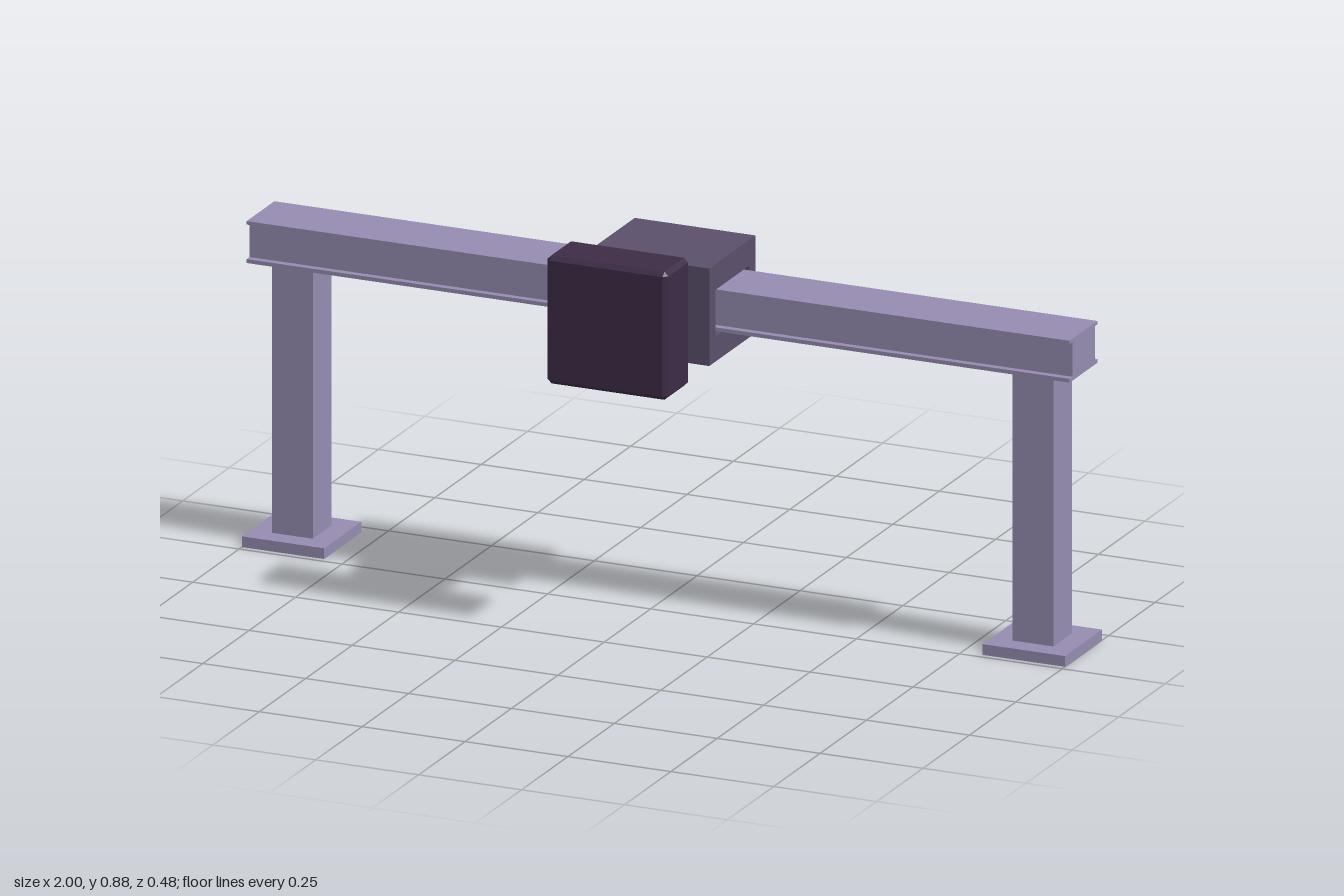
import * as THREE from 'three';
import { ConvexGeometry } from 'three/addons/geometries/ConvexGeometry.js';

const mat = (name, color) => Object.assign(new THREE.MeshStandardMaterial({ color }), { name });

export function createModel() {
  const root = new THREE.Group();
  const steel = mat('light steel', 0x958bb0);
  const carriage = mat('carriage grey', 0x5a4f6a);
  const dark = mat('dark block', 0x3c2c46);

  const add = (name, geo, material) => {
    const mesh = new THREE.Mesh(geo, material);
    mesh.name = name;
    root.add(mesh);
    return mesh;
  };
  // Box given by its lower and upper corner
  const box = (name, a, b, material) => {
    const size = a.map((v, i) => b[i] - v);
    add(name, new THREE.BoxGeometry(...size), material)
      .position.set(...a.map((v, i) => (v + b[i]) / 2));
  };
  // Extrude a shape drawn in (-z, y) along x, centred on the given x
  const extrudeX = (name, shape, width, x, material) => {
    const geo = new THREE.ExtrudeGeometry(shape, { depth: width, bevelEnabled: false, curveSegments: 16 });
    geo.translate(0, 0, -width / 2).rotateY(Math.PI / 2);
    add(name, geo, material).position.x = x;
  };
  const rect = (Type, x0, y0, x1, y1) => new Type().setFromPoints(
    [[x0, y0], [x1, y0], [x1, y1], [x0, y1]].map(p => new THREE.Vector2(...p)));
  const rodX = (name, radius, length, sides, x, material) => {
    const geo = new THREE.CylinderGeometry(radius, radius, length, sides);
    geo.rotateZ(Math.PI / 2);
    add(name, geo, material).position.set(x, pivotY, pivotZ);
  };
  const pivotY = 0.707, pivotZ = 0.07;

  // Rail: thick web with two thin flanges
  box('railWeb', [-1, 0.665, -0.177], [1, 0.748, -0.056], steel);
  box('railTopFlange', [-1, 0.747, -0.19], [1, 0.755, -0.04], steel);
  box('railBottomFlange', [-1, 0.657, -0.19], [1, 0.666, -0.04], steel);

  // Legs and foot plates
  for (const s of [-1, 1]) {
    const side = s > 0 ? 'left' : 'right';
    box(side + 'Leg', [s * 0.9 - 0.05, 0.025, -0.164], [s * 0.9 + 0.05, 0.658, -0.065], steel);
    box(side + 'Foot', [s * 0.9 - 0.1, 0, -0.215], [s * 0.9 + 0.1, 0.025, -0.015], steel);
  }

  // Sliding carriage: open sleeve around the rail
  const sleeve = rect(THREE.Shape, -0.01, 0.592, 0.24, 0.82);
  sleeve.holes.push(rect(THREE.Path, 0.023, 0.65, 0.205, 0.76));
  extrudeX('carriage', sleeve, 0.294, 0, carriage);

  // Front block with chamfered edges
  const half = [0.147, 0.15, 0.0625], c = 0.01, points = [];
  for (const sx of [-1, 1]) for (const sy of [-1, 1]) for (const sz of [-1, 1]) {
    const sign = [sx, sy, sz];
    for (let axis = 0; axis < 3; axis++) {
      points.push(new THREE.Vector3(...half.map((h, i) => sign[i] * (i === axis ? h : h - c))));
    }
  }
  add('frontBlock', new ConvexGeometry(points), dark).position.set(0, 0.73, 0.1775);

  // Round-ended lug on the carriage
  const lug = new THREE.Shape();
  lug.moveTo(0, pivotY - 0.043);
  lug.lineTo(0, pivotY + 0.043);
  lug.lineTo(-pivotZ, pivotY + 0.043);
  lug.absarc(-pivotZ, pivotY, 0.043, Math.PI / 2, Math.PI * 1.5, false);

  // Hinge: carriage lugs outside, block lugs inside, bolted together
  for (const s of [-1, 1]) {
    extrudeX('carriageLug', lug, 0.03, s * 0.075, carriage);
    rodX('blockLug', 0.056, 0.036, 32, s * 0.04, dark);
    rodX('boltHead', 0.022, 0.01, 6, s * 0.094, carriage);
    rodX('boltEnd', 0.013, 0.004, 6, s * 0.1, carriage);
  }
  rodX('hingePin', 0.013, 0.18, 16, 0, carriage);
  return root;
}
